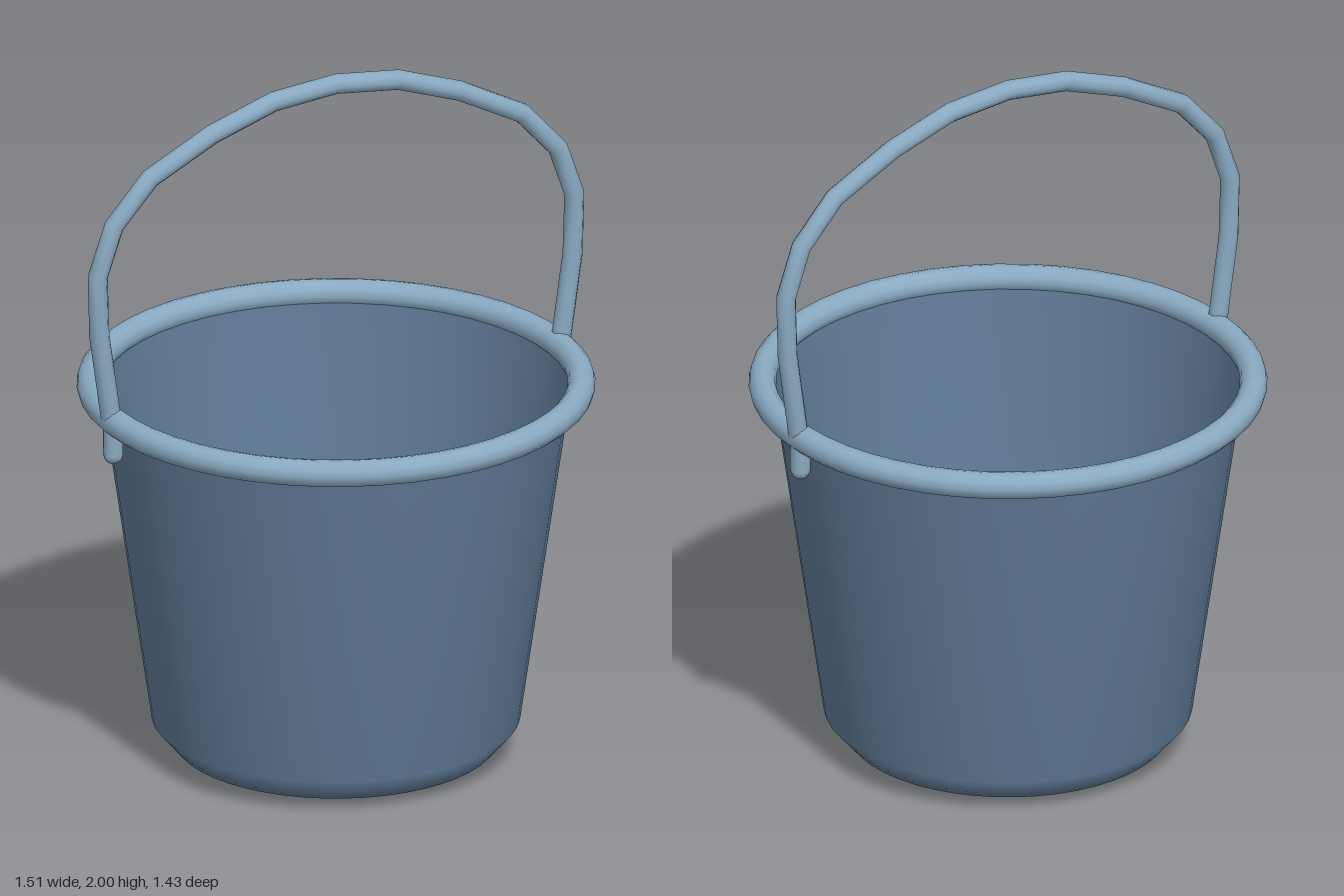
import * as THREE from 'three';

const bodyMaterial = new THREE.MeshStandardMaterial({ color: 0x5f7a96, side: THREE.DoubleSide });
const trimMaterial = new THREE.MeshStandardMaterial({ color: 0x8aaac2 });

function addPart(group, name, geometry, material, x = 0, y = 0) {
  const mesh = new THREE.Mesh(geometry, material);
  mesh.name = name;
  mesh.position.set(x, y, 0);
  group.add(mesh);
  return mesh;
}

export function createModel() {
  const group = new THREE.Group();
  group.name = 'bucket';

  // Thin tapered shell with a chamfered, slightly domed base
  const profile = [[0, 0], [0.445, 0.032], [0.508, 0.105], [0.65, 1.09]]
    .map(([r, y]) => new THREE.Vector2(r, y));
  addPart(group, 'shell', new THREE.LatheGeometry(profile, 48), bodyMaterial);

  // Rolled rim
  const rim = new THREE.TorusGeometry(0.677, 0.038, 12, 48).rotateX(Math.PI / 2);
  addPart(group, 'rim', rim, trimMaterial, 0, 1.088);

  // Bail handle: one half, mirrored, with a ring at each path point
  const half = [[0.685, 1.09], [0.722, 1.35], [0.727, 1.525], [0.677, 1.668],
    [0.567, 1.79], [0.378, 1.888], [0.19, 1.953]];
  const points = [
    ...half.map(([x, y]) => new THREE.Vector3(-x, y, 0)),
    new THREE.Vector3(0, 1.973, 0),
    ...half.slice().reverse().map(([x, y]) => new THREE.Vector3(x, y, 0)),
  ];
  const path = new THREE.CatmullRomCurve3(points);
  path.getPointAt = path.getPoint;
  path.getTangentAt = path.getTangent;
  addPart(group, 'handle', new THREE.TubeGeometry(path, points.length - 1, 0.028, 10), trimMaterial);

  // Rounded lugs holding the handle under the rim
  for (const side of [-1, 1]) {
    addPart(group, side > 0 ? 'leftLug' : 'rightLug',
      new THREE.CapsuleGeometry(0.028, 0.1, 4, 10), trimMaterial, side * 0.68, 1.043);
  }
  return group;
}
